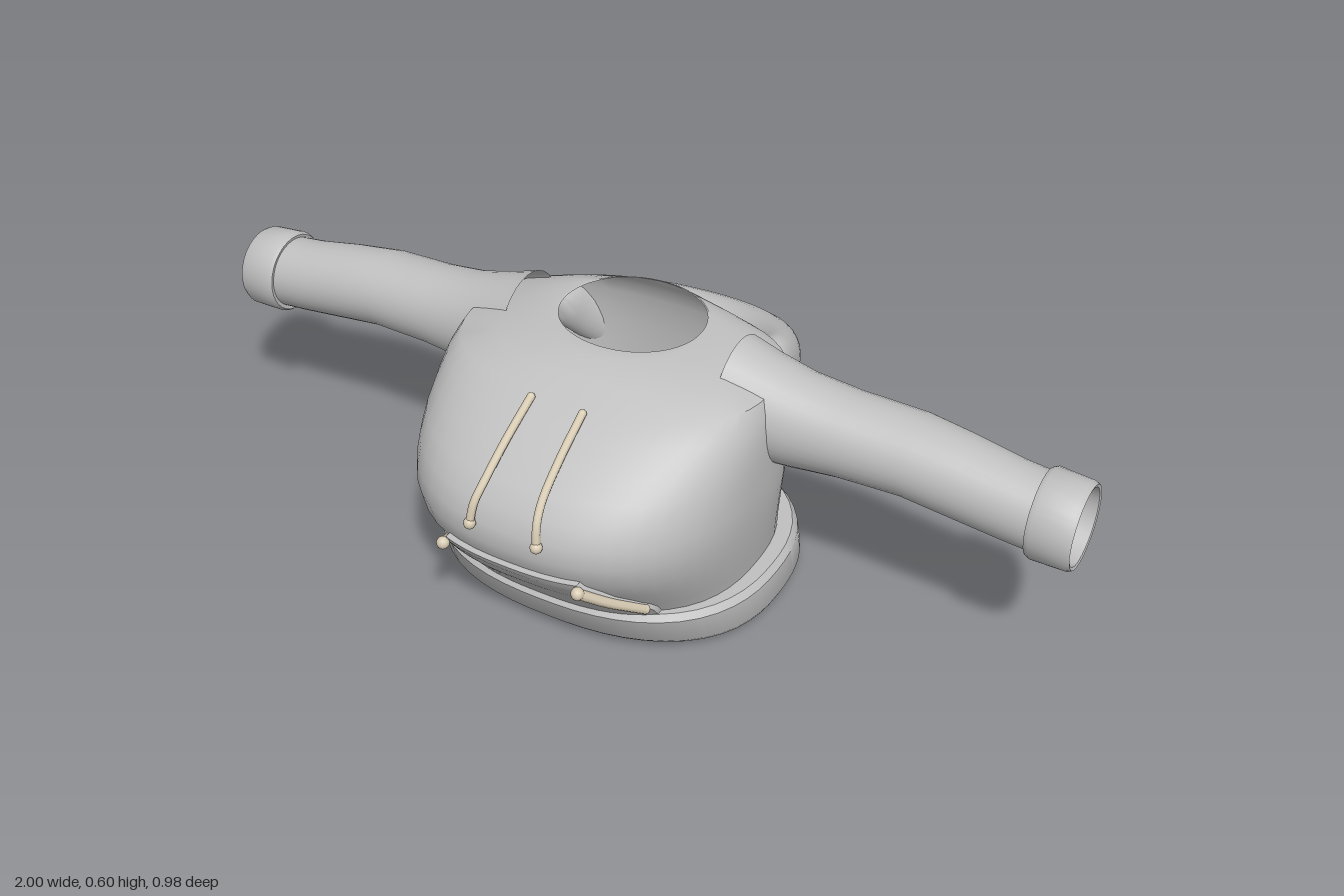
import * as THREE from 'three';
import { toCreasedNormals } from 'three/addons/utils/BufferGeometryUtils.js';

const fabric = new THREE.MeshStandardMaterial({ color: 0xc0c0c0, side: THREE.DoubleSide });
fabric.name = 'grey fabric';
const cordMat = new THREE.MeshStandardMaterial({ color: 0xd8ccb4 });
cordMat.name = 'beige cord';

// Skin a list of rings (arrays of [x, y, z]); closed joins each ring's ends
function loft(rings, closed = true, crease = 0.6) {
  const n = rings[0].length, index = [];
  const cols = closed ? n : n - 1;
  for (let i = 0; i < rings.length - 1; i++) {
    for (let j = 0; j < cols; j++) {
      const k = (j + 1) % n;
      const a = i * n + j, b = i * n + k, c = a + n, d = b + n;
      index.push(a, b, d, a, d, c);
    }
  }
  const g = new THREE.BufferGeometry();
  g.setAttribute('position', new THREE.Float32BufferAttribute(rings.flat(2), 3));
  g.setIndex(index);
  return toCreasedNormals(g, crease);
}

function mesh(name, geometry, material = fabric) {
  const m = new THREE.Mesh(geometry, material);
  m.name = name;
  return m;
}

// Horizontal rounded section: half width, front z, back z, centre z
function section([y, w, front, back, zc], power = 2.5, n = 56) {
  return Array.from({ length: n }, (_, j) => {
    const a = (j / n) * Math.PI * 2, s = Math.sin(a), c = Math.cos(a);
    const r = Math.pow(Math.abs(s) ** power + Math.abs(c) ** power, -1 / power);
    return [w * s * r, y, zc + c * r * (c > 0 ? front - zc : zc - back)];
  });
}

// y, half width, front z, back z, centre z
const TORSO = [
  [0.10, 0.345, 0.335, -0.265, 0.04],
  [0.15, 0.352, 0.375, -0.25, 0.05],
  [0.20, 0.36, 0.42, -0.24, 0.06],
  [0.25, 0.365, 0.458, -0.235, 0.06],
  [0.30, 0.37, 0.473, -0.235, 0.06],
  [0.34, 0.37, 0.468, -0.235, 0.06],
  [0.38, 0.37, 0.45, -0.235, 0.05],
  [0.42, 0.37, 0.415, -0.233, 0.04],
  [0.46, 0.368, 0.365, -0.23, 0.03],
  [0.50, 0.362, 0.31, -0.222, 0.02],
  [0.53, 0.35, 0.255, -0.214, 0.01],
  [0.555, 0.27, 0.205, -0.195, 0],
  [0.58, 0.165, 0.15, -0.18, -0.02],
];

// Front surface depth of the torso at x, y
function frontZ(x, y) {
  let i = 0;
  while (i < TORSO.length - 2 && TORSO[i + 1][0] < y) i++;
  const A = TORSO[i], B = TORSO[i + 1], t = (y - A[0]) / (B[0] - A[0]);
  const [w, f, zc] = [1, 2, 4].map((k) => A[k] + (B[k] - A[k]) * t);
  return zc + (f - zc) * Math.pow(Math.max(0, 1 - Math.abs(x / w) ** 2.5), 0.4);
}

// Sleeve-like tube along x from [x, centre y, centre z, radius y, radius z]
function armTube(rows, side) {
  return loft(rows.map(([x, cy, cz, ry, rz]) =>
    Array.from({ length: 32 }, (_, j) => {
      const a = (j / 32) * Math.PI * 2;
      return [side * x, cy + ry * Math.cos(a), cz + side * rz * Math.sin(a)];
    })));
}

// Cord with a thicker knotted end
function cord(name, points, r, knot) {
  const g = new THREE.Group();
  g.name = name;
  const pts = points.map((p) => new THREE.Vector3(...p));
  g.add(mesh('cordStrand', new THREE.TubeGeometry(new THREE.CatmullRomCurve3(pts), 20, r, 8), cordMat));
  [[pts[0], r], [pts[pts.length - 1], knot]].forEach(([p, size]) => {
    const tip = mesh('cordTip', new THREE.SphereGeometry(size, 12, 8), cordMat);
    tip.position.copy(p);
    g.add(tip);
  });
  return g;
}

// Hanging hood: a tilted arch that swells towards the middle of the back
function hoodGeometry() {
  const rings = [], tilt = Math.atan2(0.18, 0.27), N = 44;
  const up = [Math.cos(tilt), -Math.sin(tilt)];
  for (let i = 0; i <= N; i++) {
    const t = (i / N) * Math.PI, s = Math.max(0, Math.sin(t)), c = Math.cos(t);
    const end = Math.sqrt(Math.min(1, s * 6));
    const rh = (0.035 + 0.063 * s ** 1.5) * end, rv = (0.035 + 0.072 * s ** 0.8) * end;
    rings.push(Array.from({ length: 28 }, (_, j) => {
      const a = (j / 28) * Math.PI * 2, v = rv * Math.cos(a), h = rh * Math.sin(a);
      return [
        0.257 * c + h * c,
        0.5 - 0.18 * s + v * up[0] - h * s * Math.sin(tilt),
        -0.12 - 0.27 * s + v * up[1] - h * s * Math.cos(tilt),
      ];
    }));
  }
  return loft(rings, true, 1.2);
}

// Front pocket: a trapezoid following the torso, edges tucked in
function pocketGeometry() {
  const rows = [];
  for (let i = 0; i <= 10; i++) {
    const y = 0.1 + 0.016 * i;
    const half = y < 0.14 ? 0.25 : 0.25 - ((y - 0.14) / 0.12) * 0.095;
    rows.push(Array.from({ length: 25 }, (_, j) => {
      const u = Math.max(-1, Math.min(1, (j - 12) / 11));
      const x = u * half, edge = j === 0 || j === 24;
      return [x, y, frontZ(x, y) + (edge ? -0.01 : 0.014)];
    }));
  }
  // Top edge folds back to the torso
  rows.push(rows[10].map(([x, y]) => [x, y + 0.002, frontZ(x, y) - 0.01]));
  return loft(rows, false);
}

export function createModel() {
  const model = new THREE.Group();
  model.name = 'hoodedSweater';

  // Torso with a small lip round the neck opening
  const lip = [0.579, 0.158, 0.11, -0.178, -0.03];
  model.add(mesh('torso', loft([...TORSO, lip].map((r, i) => section(r, i > 11 ? 2.05 : 2.5)))));

  // Hem band
  model.add(mesh('hemBand', loft([
    [0, 0.362, 0.3, -0.292, 0.02],
    [0.018, 0.362, 0.3, -0.292, 0.02],
    [0.018, 0.388, 0.322, -0.322, 0.02],
    [0.028, 0.393, 0.332, -0.326, 0.02],
    [0.095, 0.39, 0.36, -0.305, 0.03],
    [0.11, 0.378, 0.352, -0.295, 0.03],
    [0.11, 0.335, 0.32, -0.255, 0.03],
  ].map((r) => section(r, 2.4)))));

  model.add(mesh('hood', hoodGeometry()));
  model.add(mesh('frontPocket', pocketGeometry()));

  for (const side of [1, -1]) {
    const label = side > 0 ? 'left' : 'right';
    model.add(mesh(label + 'Sleeve', armTube([
      [0.255, 0.475, -0.025, 0.125, 0.115],
      [0.32, 0.463, -0.028, 0.115, 0.105],
      [0.4, 0.452, -0.032, 0.103, 0.097],
      [0.5, 0.447, -0.04, 0.091, 0.094],
      [0.64, 0.444, -0.045, 0.086, 0.094],
      [0.75, 0.432, -0.04, 0.086, 0.088],
      [0.85, 0.418, -0.037, 0.083, 0.083],
      [0.92, 0.412, -0.035, 0.082, 0.082],
    ], side)));
    // Open cuff, folded inwards at the wrist
    model.add(mesh(label + 'Cuff', armTube([
      [0.91, 0.412, -0.035, 0.08, 0.08],
      [0.908, 0.412, -0.035, 0.09, 0.09],
      [0.918, 0.411, -0.036, 0.096, 0.094],
      [0.99, 0.407, -0.036, 0.093, 0.092],
      [1.0, 0.407, -0.036, 0.088, 0.087],
      [0.998, 0.407, -0.036, 0.081, 0.081],
      [0.92, 0.41, -0.035, 0.079, 0.079],
    ], side)));

    // Drawstring hanging on the chest
    model.add(cord(label + 'Drawstring', [
      [0.06, 0.527, 0.27], [0.063, 0.475, 0.36], [0.067, 0.42, 0.435],
      [0.073, 0.385, 0.465], [0.078, 0.34, 0.477],
    ].map(([x, y, z]) => [side * x, y, z]), 0.009, 0.013));

    // Piping along the slanted pocket opening
    model.add(cord(label + 'PocketPiping', [0, 0.25, 0.5, 0.75, 1].map((t) => {
      const x = 0.238 - 0.078 * t, y = 0.143 + 0.103 * t;
      return [side * x, y, frontZ(x, y) + 0.014 + 0.012 * t];
    }), 0.011, 0.014));
  }
  return model;
}
